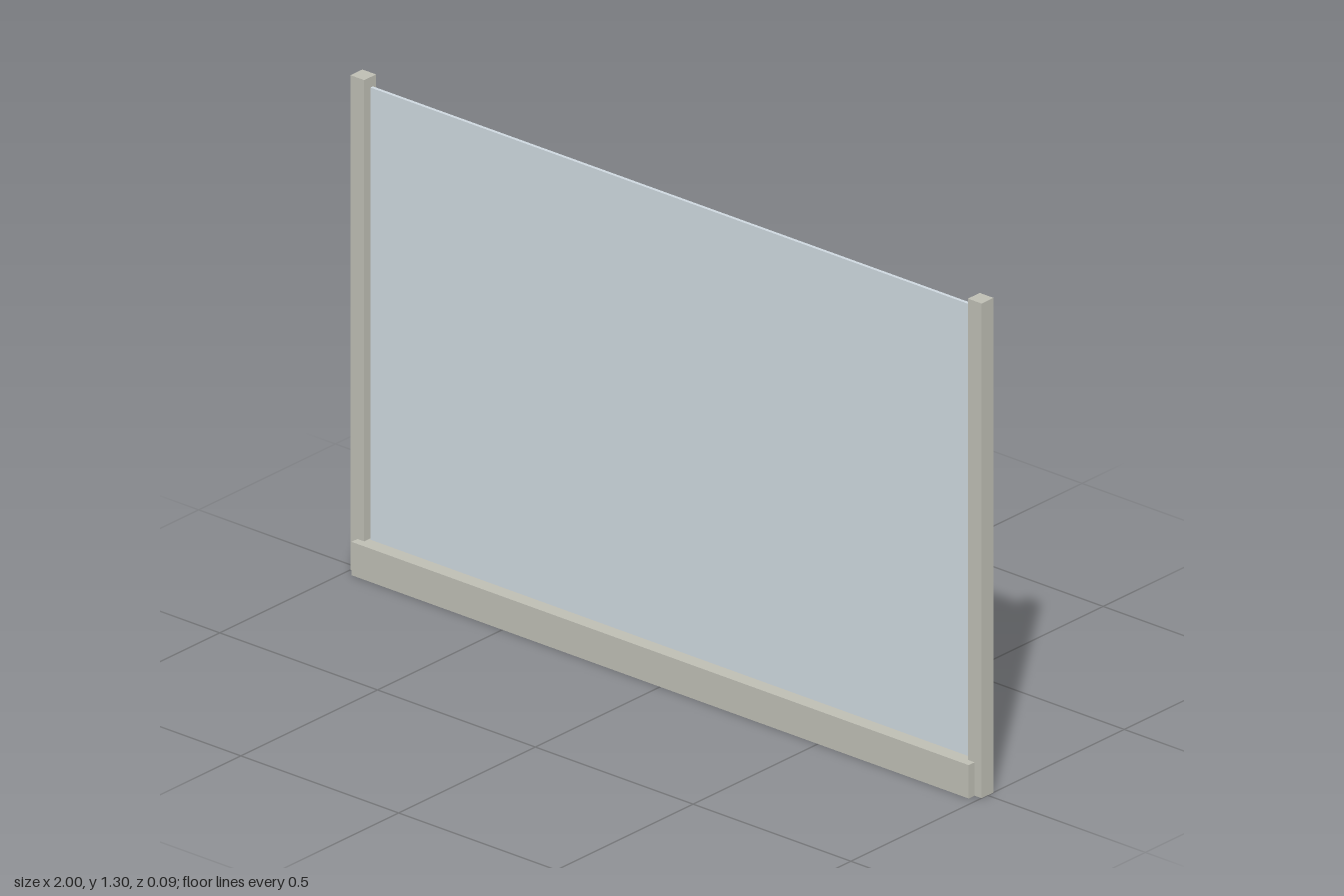
import * as THREE from 'three';

export function createModel() {
  const model = new THREE.Group();
  const metal = new THREE.MeshStandardMaterial({ color: 0xbdbdb3 });
  const glass = new THREE.MeshStandardMaterial({ color: 0xcdd7de });

  // box standing on height y0
  const addBox = (name, w, h, d, x, y0, material) => {
    const mesh = new THREE.Mesh(new THREE.BoxGeometry(w, h, d), material);
    mesh.name = name;
    mesh.position.set(x, y0 + h / 2, 0);
    model.add(mesh);
  };

  // bottom rail that holds the pane
  addBox('baseRail', 1.956, 0.088, 0.087, 0, 0, metal);

  // upright posts at both ends
  for (const [name, side] of [['leftPost', 1], ['rightPost', -1]]) {
    addBox(name, 0.0435, 1.304, 0.0435, side * 0.97825, 0, metal);
  }

  // thin pane, set into the rail with a narrow gap to each post
  addBox('glassPane', 1.904, 1.236, 0.009, 0, 0.044, glass);

  return model;
}
